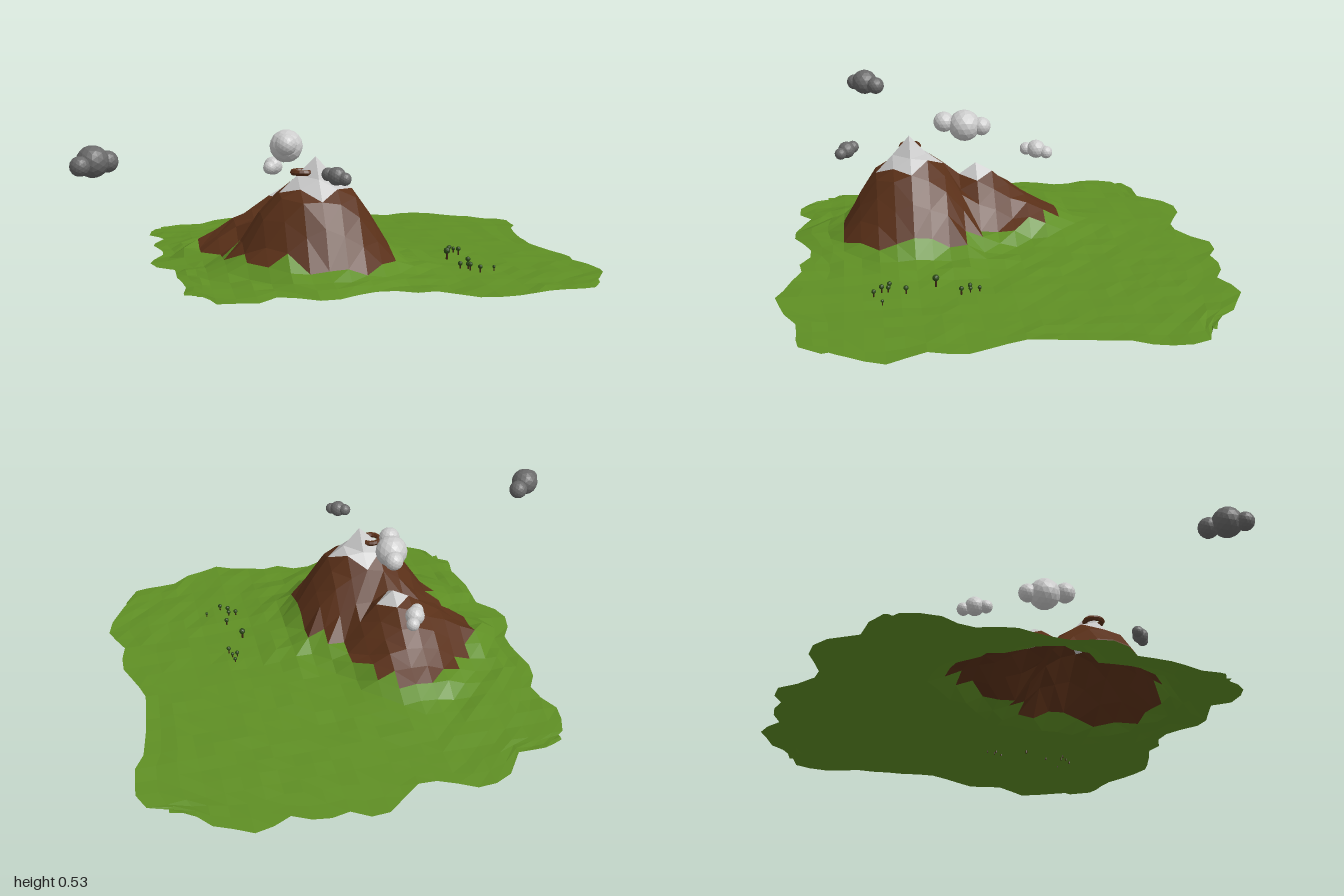
import * as THREE from 'three';

const CELL = 0.07, PX = -0.1, PZ = 0.345;          // grid is aligned with the main summit
const I0 = -9, I1 = 15, J0 = -17, J1 = 7;

// Wavy shoreline on each side: [along, across]
const LEFT = [[-.85, -.64], [-.68, -.64], [-.6, -.68], [-.5, -.7], [-.43, -.66], [-.35, -.64], [-.27, -.69], [-.2, -.69],
  [-.1, -.66], [0, -.66], [.1, -.725], [.2, -.7], [.27, -.63], [.45, -.63], [.53, -.6], [.6, -.62], [.7, -.62], [.76, -.58]];
const RIGHT = [[-.75, .88], [-.68, .93], [-.58, .99], [-.43, .98], [-.37, .94], [-.2, .91], [0, .89], [.1, .92],
  [.2, .96], [.27, .96], [.35, .94], [.47, 1], [.55, .98], [.6, .94], [.7, .92], [.78, .9]];
const BACK = [[-.73, -.68], [-.6, -.71], [-.45, -.71], [-.38, -.81], [-.31, -.845], [-.24, -.845], [-.1, -.775], [-.02, -.775],
  [.11, -.885], [.18, -.885], [.25, -.845], [.33, -.86], [.4, -.845], [.46, -.81], [.53, -.845], [.6, -.86], [.75, -.78],
  [.82, -.72], [.93, -.68]];
const FRONT = [[-.65, .7], [-.58, .76], [-.45, .82], [-.38, .82], [-.31, .77], [-.17, .83], [-.1, .83], [.03, .76], [.11, .76],
  [.18, .8], [.25, .79], [.33, .83], [.46, .88], [.6, .84], [.68, .79], [.82, .79], [.88, .78], [.93, .7]];

// Peaks: foot radius in eight directions (from +x towards +z) and slope profile [distance / radius, height]
const PEAKS = [
  { x: PX, z: PZ, foot: [.29, .28, .28, .27, .32, .33, .28, .32],
    slope: [[0, .45], [.25, .37], [.5, .31], [.72, .22], [1, .08], [1.25, .04], [1.7, .02], [2.5, .01], [4, .004]] },
  { x: PX - CELL, z: PZ - 4 * CELL, foot: [.22, .25, .3, .28, .35, .32, .35, .24],
    slope: [[0, .3], [.2, .26], [.57, .165], [.75, .12], [1, .07], [1.3, .025], [1.9, .012], [3, .004]] },
];

function lookup(table, t) {
  if (t <= table[0][0]) return table[0][1];
  for (let k = 1; k < table.length; k++) {
    const [a, va] = table[k - 1], [b, vb] = table[k];
    if (t <= b) return va + (vb - va) * (t - a) / (b - a);
  }
  return table[table.length - 1][1];
}

function noise(i, j) {
  const s = Math.sin(i * 127.1 + j * 311.7) * 43758.5453;
  return s - Math.floor(s);
}

// Distance from a peak relative to its foot
function reach(p, x, z) {
  const dx = x - p.x, dz = z - p.z;
  const a = (Math.atan2(dz, dx) / (Math.PI / 4) + 8) % 8, k = Math.floor(a) % 8;
  return Math.hypot(dx, dz) / THREE.MathUtils.lerp(p.foot[k], p.foot[(k + 1) % 8], a - Math.floor(a));
}

function groundPoint(i, j) {
  const nx = PX + i * CELL, nz = PZ + j * CELL;
  const near = d => Math.max(0, 1 - d / 3);
  const edge = i === I0 || i === I1 || j === J0 || j === J1;
  const x = nx + near(i - I0) * (lookup(LEFT, nz) - (PX + I0 * CELL)) + near(I1 - i) * (lookup(RIGHT, nz) - (PX + I1 * CELL));
  const z = nz + near(j - J0) * (lookup(BACK, nx) - (PZ + J0 * CELL)) + near(J1 - j) * (lookup(FRONT, nx) - (PZ + J1 * CELL));
  const t = PEAKS.map(p => reach(p, x, z));
  const tm = Math.min(...t);
  let y = Math.max(...PEAKS.map((p, k) => lookup(p.slope, t[k])));
  const rough = tm < 0.3 ? 0 : tm < 1.2 ? 0.035 : tm < 1.6 ? 0.018 : 0.008;
  y += (noise(i, j) - 0.5) * rough;
  if (edge) y = Math.min(y, 0.02);
  return new THREE.Vector3(x, Math.max(0, y), z);
}

function flat(color) {
  return new THREE.MeshStandardMaterial({ color, flatShading: true, side: THREE.DoubleSide });
}

// One faceted sheet, split into grass, rock and snow
function makeLand() {
  const faces = { grass: [], rock: [], snow: [] };
  const add = (...corners) => {
    const ci = corners.reduce((s, c) => s + c[0], 0) / 3, cj = corners.reduce((s, c) => s + c[1], 0) / 3;
    const pts = corners.map(c => groundPoint(c[0], c[1]));
    const cx = PX + ci * CELL, cz = PZ + cj * CELL;
    const t = Math.min(...PEAKS.map(p => reach(p, cx, cz)));
    let kind = t < 1.02 ? 'rock' : 'grass';
    if (Math.abs(ci) + Math.abs(cj) < 2 || Math.abs(ci + 1) + Math.abs(cj + 4) < 1) kind = 'snow';
    pts.forEach(p => faces[kind].push(p.x, p.y, p.z));
  };
  for (let i = I0; i < I1; i++) for (let j = J0; j < J1; j++) {
    const a = [i, j], b = [i + 1, j], c = [i, j + 1], d = [i + 1, j + 1];
    // Diagonals run around the nearer summit
    const [si, sj] = j < -2 ? [-1, -4] : [0, 0];
    if ((i >= si) === (j >= sj)) { add(a, c, b); add(b, c, d); }
    else { add(a, c, d); add(a, d, b); }
  }
  const land = new THREE.Group();
  land.name = 'land';
  const colors = { grass: 0x5f8f24, rock: 0x5a3018, snow: 0xcccccc };
  for (const kind in faces) {
    const g = new THREE.BufferGeometry();
    g.setAttribute('position', new THREE.Float32BufferAttribute(faces[kind], 3));
    g.computeVertexNormals();
    const mesh = new THREE.Mesh(g, flat(colors[kind]));
    mesh.name = kind;
    land.add(mesh);
  }
  return land;
}

// Cloud made of faceted puffs: [x, y, z, radius]
function makeCloud(color, puffs) {
  const cloud = new THREE.Group(), mat = flat(color);
  cloud.name = 'cloud';
  for (const [x, y, z, r] of puffs) {
    const puff = new THREE.Mesh(new THREE.IcosahedronGeometry(r, 2), mat);
    puff.name = 'puff';
    puff.position.set(x, y, z);
    cloud.add(puff);
  }
  return cloud;
}

function makeTree(x, z, h, mats) {
  const tree = new THREE.Group(), r = h * 0.22;
  tree.name = 'tree';
  const trunk = new THREE.Mesh(new THREE.CylinderGeometry(h * 0.06, h * 0.08, h * 0.75, 6), mats[0]);
  trunk.name = 'trunk';
  trunk.position.y = h * 0.375;
  const crown = new THREE.Mesh(new THREE.IcosahedronGeometry(r, 1), mats[1]);
  crown.name = 'crown';
  crown.position.y = h - r;
  tree.add(trunk, crown);
  tree.position.set(x, 0.006, z);
  return tree;
}

export function createModel() {
  const model = new THREE.Group();
  model.name = 'mountainLandscape';
  model.add(makeLand());

  // Rocky ring half buried in the snow cap
  const ring = new THREE.Mesh(new THREE.TorusGeometry(0.036, 0.011, 6, 16), flat(0x5a3018));
  ring.name = 'craterRing';
  ring.rotation.x = Math.PI / 2;
  ring.position.set(-0.15, 0.39, 0.34);
  model.add(ring);

  // Dark and light clouds
  model.add(
    makeCloud(0x6a6a6a, [[-.92, .47, .515, .058], [-.87, .463, .465, .04], [-.963, .46, .562, .036]]),
    makeCloud(0xcccccc, [[-.175, .463, .11, .066], [-.165, .46, .04, .039], [-.19, .477, .195, .043]]),
    makeCloud(0xcccccc, [[-.185, .345, -.195, .039], [-.165, .335, -.235, .027], [-.205, .342, -.155, .027]]),
    makeCloud(0x6a6a6a, [[-.07, .408, .6, .034], [-.095, .412, .575, .025], [-.045, .4, .624, .024]]),
  );

  // Scattered trees
  const grove = new THREE.Group(), mats = [flat(0x3a2412), flat(0x2c4a16)];
  grove.name = 'trees';
  const spots = [[.44, .28, .06], [.5, .12, .035], [.485, .155, .04], [.505, .155, .035], [.515, .19, .042], [.49, .395, .045],
    [.44, .455, .042], [.47, .46, .04], [.47, .485, .045], [.5, .515, .04], [.565, .485, .028]];
  for (const [x, z, h] of spots) grove.add(makeTree(x, z, h, mats));
  model.add(grove);
  return model;
}
